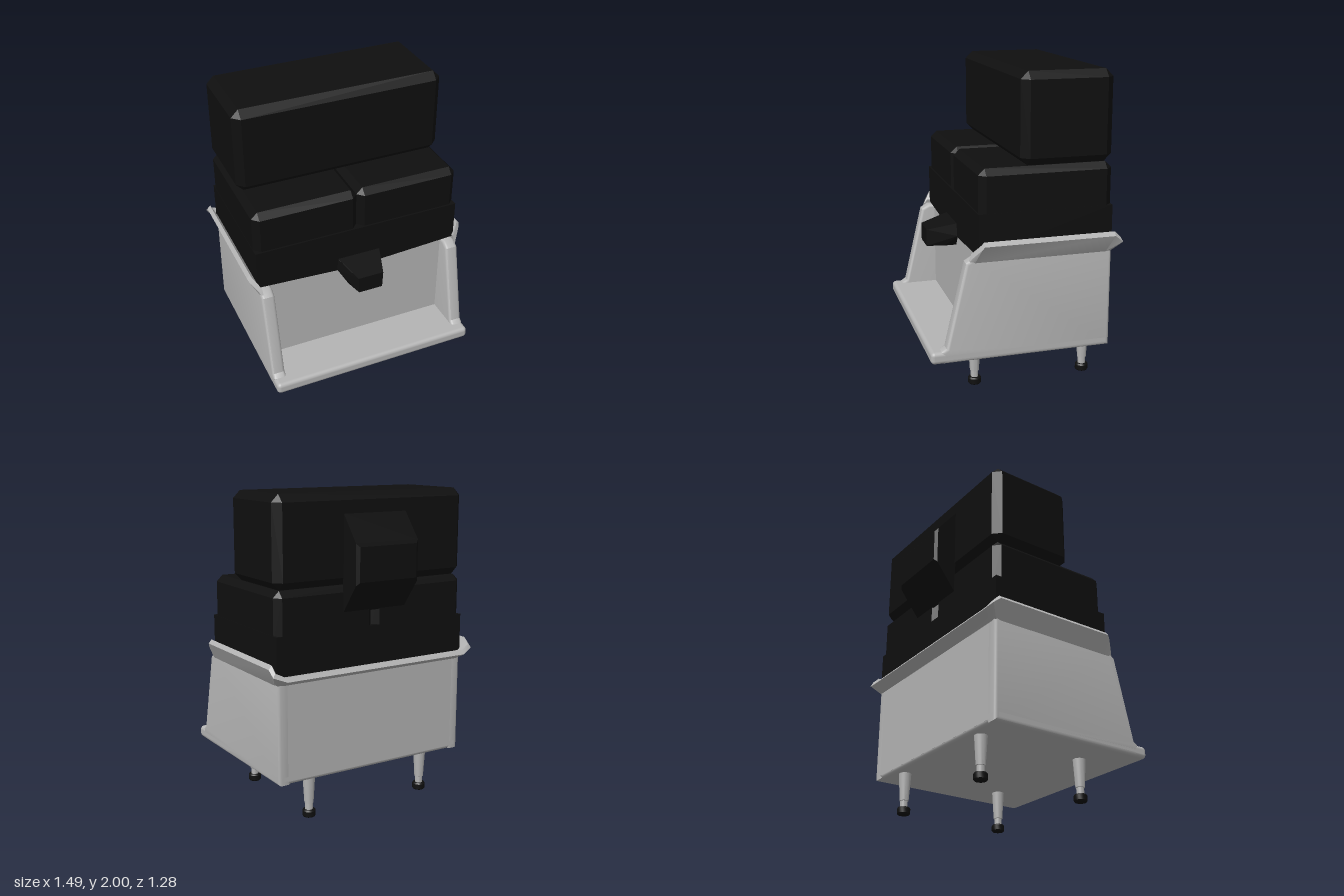
import * as THREE from 'three';
import { toCreasedNormals } from 'three/addons/utils/BufferGeometryUtils.js';
import { RoundedBoxGeometry } from 'three/addons/geometries/RoundedBoxGeometry.js';
import { ConvexGeometry } from 'three/addons/geometries/ConvexGeometry.js';

const V = (x, y, z) => new THREE.Vector3(x, y, z);

// Box between two corners with every edge cut at 45 degrees
function chamferBox(a, b, c) {
  const pts = [];
  for (const i of [0, 1]) for (const j of [0, 1]) for (const k of [0, 1]) {
    const p = V(i ? b[0] : a[0], j ? b[1] : a[1], k ? b[2] : a[2]);
    const d = [i ? -c : c, j ? -c : c, k ? -c : c];
    pts.push(V(p.x, p.y + d[1], p.z + d[2]), V(p.x + d[0], p.y, p.z + d[2]), V(p.x + d[0], p.y + d[1], p.z));
  }
  return new ConvexGeometry(pts);
}

// Closed sweep of equal cross-sections
function loft(sections) {
  const n = sections[0].length, out = [];
  const tri = (...p) => p.forEach((v) => out.push(v.x, v.y, v.z));
  for (let i = 0; i < sections.length - 1; i++) {
    for (let j = 0; j < n; j++) {
      const k = (j + 1) % n, A = sections[i], B = sections[i + 1];
      tri(A[j], B[j], B[k]);
      tri(A[j], B[k], A[k]);
    }
  }
  const F = sections[0], L = sections[sections.length - 1];
  for (let j = 1; j < n - 1; j++) {
    tri(F[0], F[j], F[j + 1]);
    tri(L[0], L[j + 1], L[j]);
  }
  const g = new THREE.BufferGeometry();
  g.setAttribute('position', new THREE.Float32BufferAttribute(out, 3));
  g.computeVertexNormals();
  return g;
}

const shapeOf = (pts) => new THREE.Shape(pts.map(([x, y]) => new THREE.Vector2(x, y)));

export function createModel() {
  const model = new THREE.Group();
  const grey = new THREE.MeshStandardMaterial({ color: 0xb4b4b4 });
  grey.name = 'light grey';
  const black = new THREE.MeshStandardMaterial({ color: 0x0f0f0f });
  black.name = 'black';
  const add = (name, geo, mat, parent = model) => {
    const m = new THREE.Mesh(geo, mat);
    m.name = name;
    parent.add(m);
    return m;
  };

  // Base slab and the enclosed body with its recessed front panel
  add('baseSlab', new RoundedBoxGeometry(1.37, 0.077, 1.14, 3, 0.025), grey).position.set(0, 0.307, 0.07);
  add('bodyCore', new THREE.BoxGeometry(1.24, 0.62, 0.83), grey).position.set(0, 0.6, -0.085);

  // Sloping side walls
  const wallShape = shapeOf([[-0.5, 0.27], [0.56, 0.27], [0.575, 0.345], [0.545, 0.365],
    [0.42, 0.89], [0.37, 0.92], [-0.5, 0.92]]);
  const b = 0.02;
  for (const s of [1, -1]) {
    const g = new THREE.ExtrudeGeometry(wallShape, {
      depth: 0.085 - 2 * b, bevelEnabled: true, bevelSize: b, bevelThickness: b, bevelOffset: -b, bevelSegments: 3,
    });
    g.rotateY(-Math.PI / 2);
    g.translate(s > 0 ? 0.685 - b : -0.6 - b, 0, 0);
    add(s > 0 ? 'leftWall' : 'rightWall', toCreasedNormals(g, 0.7), grey);
  }

  // Flared rim around the sides and back: [base x, z, tip x, y, z, inward x, inward z]
  const half = [
    [0.675, 0.4, 0.69, 0.92, 0.385, -0.02, 0],
    [0.685, 0.365, 0.735, 0.98, 0.335, -0.02, 0],
    [0.685, 0.33, 0.743, 1.0, 0.32, -0.02, 0],
    [0.685, -0.46, 0.743, 1.0, -0.5, -0.02, 0],
    [0.68, -0.49, 0.74, 0.96, -0.55, -0.018, 0.01],
    [0.65, -0.5, 0.66, 0.93, -0.577, 0, 0.02],
  ];
  const section = ([bx, bz, tx, ty, tz, ix, iz], s, i) => {
    const lift = i === 0 ? 0.01 : 0.05;
    return [V(s * bx, 0.89, bz), V(s * tx, ty, tz),
      V(s * (tx + ix), ty + 0.025, tz + iz), V(s * (bx + ix * 0.4), 0.89 + lift, bz + iz * 0.4)];
  };
  const rim = [
    ...half.map((h, i) => section(h, 1, i)),
    ...half.map((h, i) => section(h, -1, i)).reverse(),
  ];
  add('flaredRim', toCreasedNormals(loft(rim), 0.5), grey);

  // Lower tray with a shallow V underside
  const tray = new THREE.ExtrudeGeometry(shapeOf([[-0.687, 1.183], [-0.687, 0.925], [-0.15, 0.895],
    [0.15, 0.895], [0.687, 0.925], [0.687, 1.183]]), { depth: 0.84, bevelEnabled: false });
  tray.translate(0, 0, -0.495);
  add('lowerTray', tray, black);

  // Front spout
  const spoutPts = [];
  for (const s of [1, -1]) {
    spoutPts.push(V(s * 0.15, 0.99, 0.32), V(s * 0.15, 0.9, 0.34), V(s * 0.105, 0.83, 0.34),
      V(s * 0.14, 0.98, 0.36), V(s * 0.085, 0.94, 0.53), V(s * 0.08, 0.83, 0.53), V(s * 0.105, 0.83, 0.42));
  }
  add('spout', new ConvexGeometry(spoutPts), black);

  // Pair of middle boxes and the large upper box
  add('leftMiddleBox', chamferBox([0, 1.1, -0.495], [0.685, 1.447, 0.335], 0.04), black);
  add('rightMiddleBox', chamferBox([-0.685, 1.1, -0.495], [0, 1.447, 0.335], 0.04), black);
  add('upperBox', chamferBox([-0.685, 1.447, -0.495], [0.685, 2, 0.077], 0.047), black);

  // Housing on the back
  const backPts = [];
  for (const s of [1, -1]) {
    for (const [x, y, z] of [[0.225, 1.88, -0.49], [0.225, 1.28, -0.49], [0.225, 1.71, -0.625],
      [0.225, 1.46, -0.625], [0.205, 1.69, -0.64], [0.205, 1.48, -0.64]]) backPts.push(V(s * x, y, z));
  }
  add('backHousing', new ConvexGeometry(backPts), black);

  // Tapered legs with black feet
  const legGeo = toCreasedNormals(new THREE.LatheGeometry([[0, 0.04], [0.024, 0.04], [0.024, 0.088], [0.029, 0.09],
    [0.041, 0.29]].map(([x, y]) => new THREE.Vector2(x, y)), 20), 0.6);
  const footGeo = toCreasedNormals(new THREE.LatheGeometry([[0, 0], [0.036, 0], [0.042, 0.008], [0.042, 0.038],
    [0.036, 0.047], [0, 0.047]].map(([x, y]) => new THREE.Vector2(x, y)), 20), 0.5);
  for (const x of [0.43, -0.43]) for (const z of [0.31, -0.42]) {
    const leg = new THREE.Group();
    leg.name = (z > 0 ? 'front' : 'back') + (x > 0 ? 'Left' : 'Right') + 'Leg';
    leg.position.set(x, 0, z);
    add('legPost', legGeo, grey, leg);
    add('foot', footGeo, black, leg);
    model.add(leg);
  }
  return model;
}
